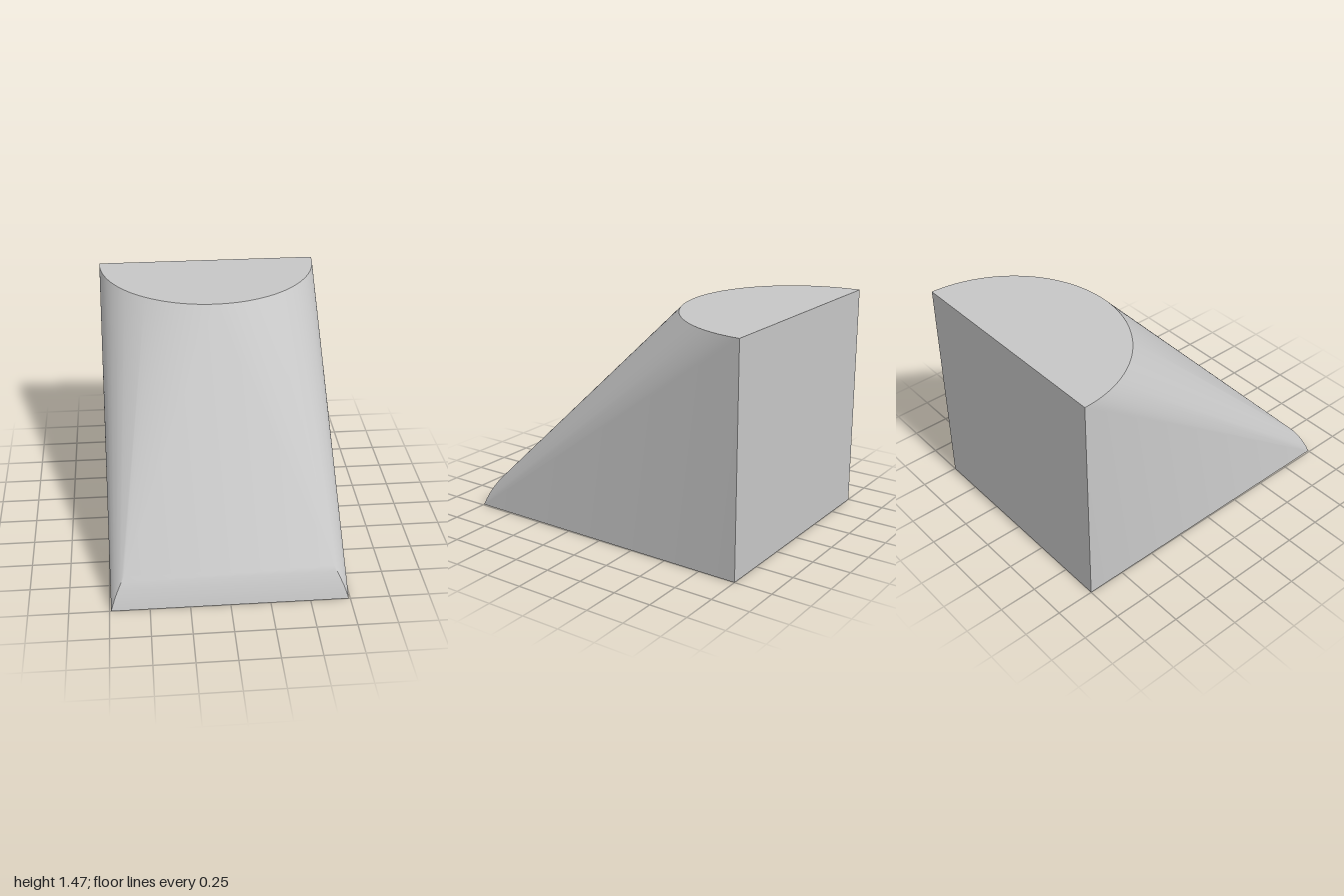
import * as THREE from 'three';
import { ConvexGeometry } from 'three/addons/geometries/ConvexGeometry.js';
import { toCreasedNormals } from 'three/addons/utils/BufferGeometryUtils.js';

const HEIGHT = 1.47;
const RADIUS = 0.75;
const BACK = -1;
const ARC_STEPS = 64;

export function createModel() {
  const group = new THREE.Group();
  const grey = new THREE.MeshStandardMaterial({ color: 0xc6c6c6 });
  grey.name = 'light grey';

  const points = [];

  // Half-round top, flat against the back
  for (let i = 0; i <= ARC_STEPS; i++) {
    const a = (i / ARC_STEPS) * Math.PI;
    points.push(new THREE.Vector3(RADIUS * Math.cos(a), HEIGHT, BACK + RADIUS * Math.sin(a)));
  }

  // Rounded toe: [half width, y, z], mitred inwards at both ends
  const toe = [
    [0.74, 0, 1], [0.727, 0.04, 0.987], [0.712, 0.08, 0.97],
    [0.692, 0.122, 0.95], [0.672, 0.16, 0.928], [0.655, 0.19, 0.906],
  ];
  for (const side of [-1, 1]) {
    points.push(new THREE.Vector3(side * RADIUS, 0, BACK));
    for (const [x, y, z] of toe) points.push(new THREE.Vector3(side * x, y, z));
  }

  // Sloping body blending the rectangular base into the half-round top
  const body = new THREE.Mesh(toCreasedNormals(new ConvexGeometry(points), 0.42), grey);
  body.name = 'slopedBody';
  group.add(body);
  return group;
}
